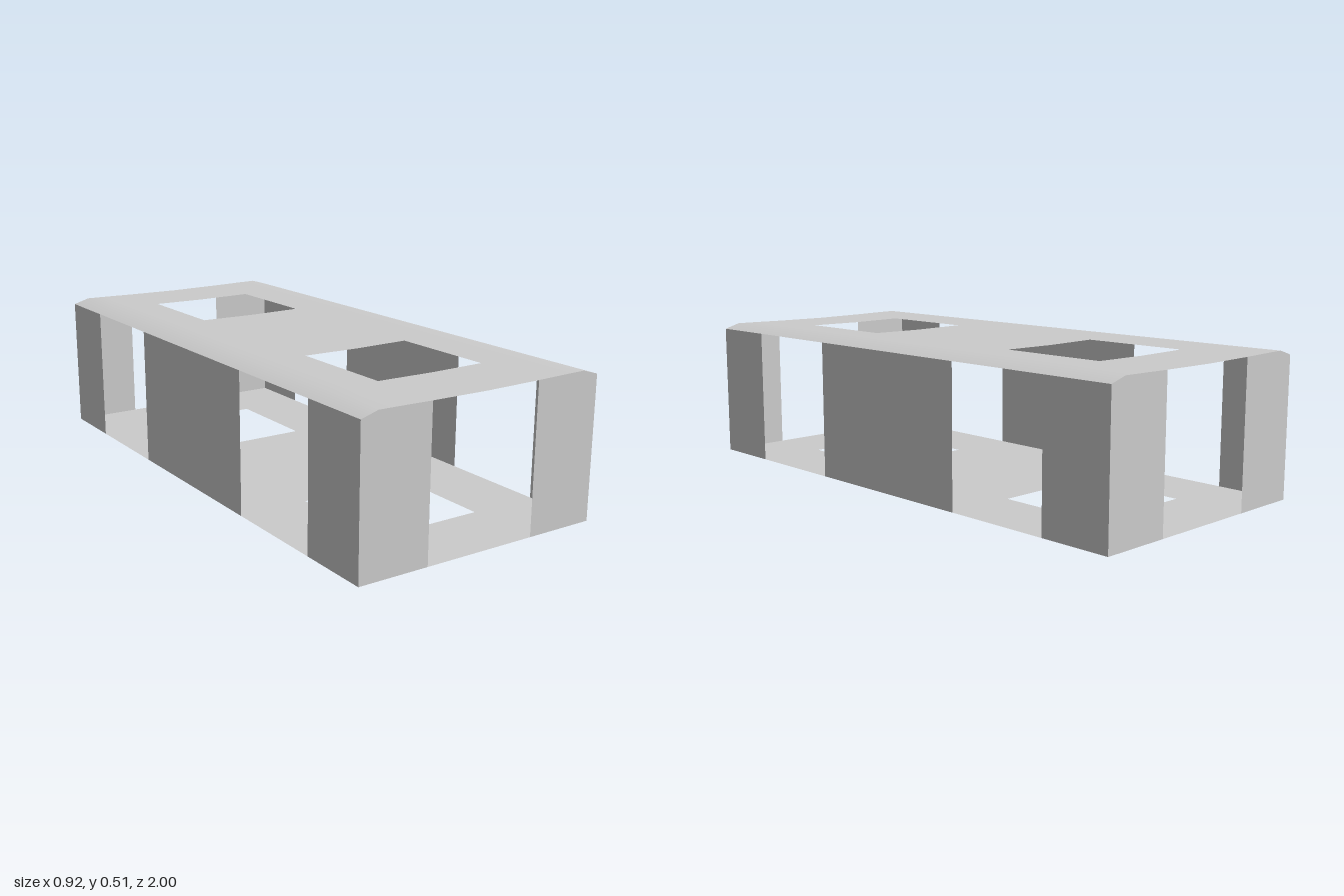
import * as THREE from 'three';

const W = 0.46, L = 1;               // half width, half length
const HX = 0.207, Z0 = 0.347, Z1 = 0.742; // opening limits
const EAVE = 0.495;

// Half of the gently arched roof section, from the centre outwards
const ROOF = [[0, 0.508], [HX, 0.51], [0.32, 0.512], [0.4, 0.513], [W, EAVE]];

export function createModel() {
  const group = new THREE.Group();
  const material = new THREE.MeshStandardMaterial({ color: 0xcccccc, side: THREE.DoubleSide });

  const add = (name, geometry) => {
    const mesh = new THREE.Mesh(geometry, material);
    mesh.name = name;
    group.add(mesh);
    return mesh;
  };
  const outline = (pts) => pts.map(([x, y]) => new THREE.Vector2(x, y));
  const rect = (x0, y0, x1, y1) => outline([[x0, y0], [x1, y0], [x1, y1], [x0, y1]]);

  // Floor sheet with two rectangular openings
  const floor = new THREE.Shape(rect(-W, -L, W, L));
  for (const s of [-1, 1]) floor.holes.push(new THREE.Path(rect(-HX, s * Z0, HX, s * Z1)));
  add('floor', new THREE.ShapeGeometry(floor).rotateX(Math.PI / 2));

  // Arched roof sheet: a grid of section points and length stations, openings left out
  const section = [...ROOF.slice(1).reverse().map(([x, y]) => [-x, y]), ...ROOF];
  const stations = [-L, -Z1, -Z0, Z0, Z1, L];
  const n = section.length;
  const positions = [], index = [];
  stations.forEach((z, j) => section.forEach(([x, y], i) => {
    positions.push(x, y, z);
    if (i === n - 1 || j === stations.length - 1) return;
    const midX = (x + section[i + 1][0]) / 2;
    if (Math.abs(midX) < HX && (j === 1 || j === 3)) return;
    const a = j * n + i, b = a + n;
    index.push(a, b, a + 1, b, b + 1, a + 1);
  }));
  const roof = new THREE.BufferGeometry();
  roof.setAttribute('position', new THREE.Float32BufferAttribute(positions, 3));
  roof.setIndex(index);
  roof.computeVertexNormals();
  add('roof', roof);

  // End wall panels either side of the full-height doorway
  const endPanel = (side) => new THREE.Shape(outline(
    [[HX, 0], [W, 0], ...ROOF.slice(1).reverse()].map(([x, y]) => [side * x, y])));
  for (const side of [-1, 1]) {
    add('frontPanel', new THREE.ShapeGeometry(endPanel(side))).position.z = L;
    add('backPanel', new THREE.ShapeGeometry(endPanel(side)).rotateY(Math.PI)).position.z = -L;
  }

  // Side wall panels: one at each corner and a wide one in the middle
  for (const side of [-1, 1]) {
    for (const [z0, z1] of [[-L, -Z1], [-Z0, Z0], [Z1, L]]) {
      const panel = add('sidePanel', new THREE.PlaneGeometry(z1 - z0, EAVE).rotateY(side * Math.PI / 2));
      panel.position.set(side * W, EAVE / 2, (z0 + z1) / 2);
    }
  }
  return group;
}
